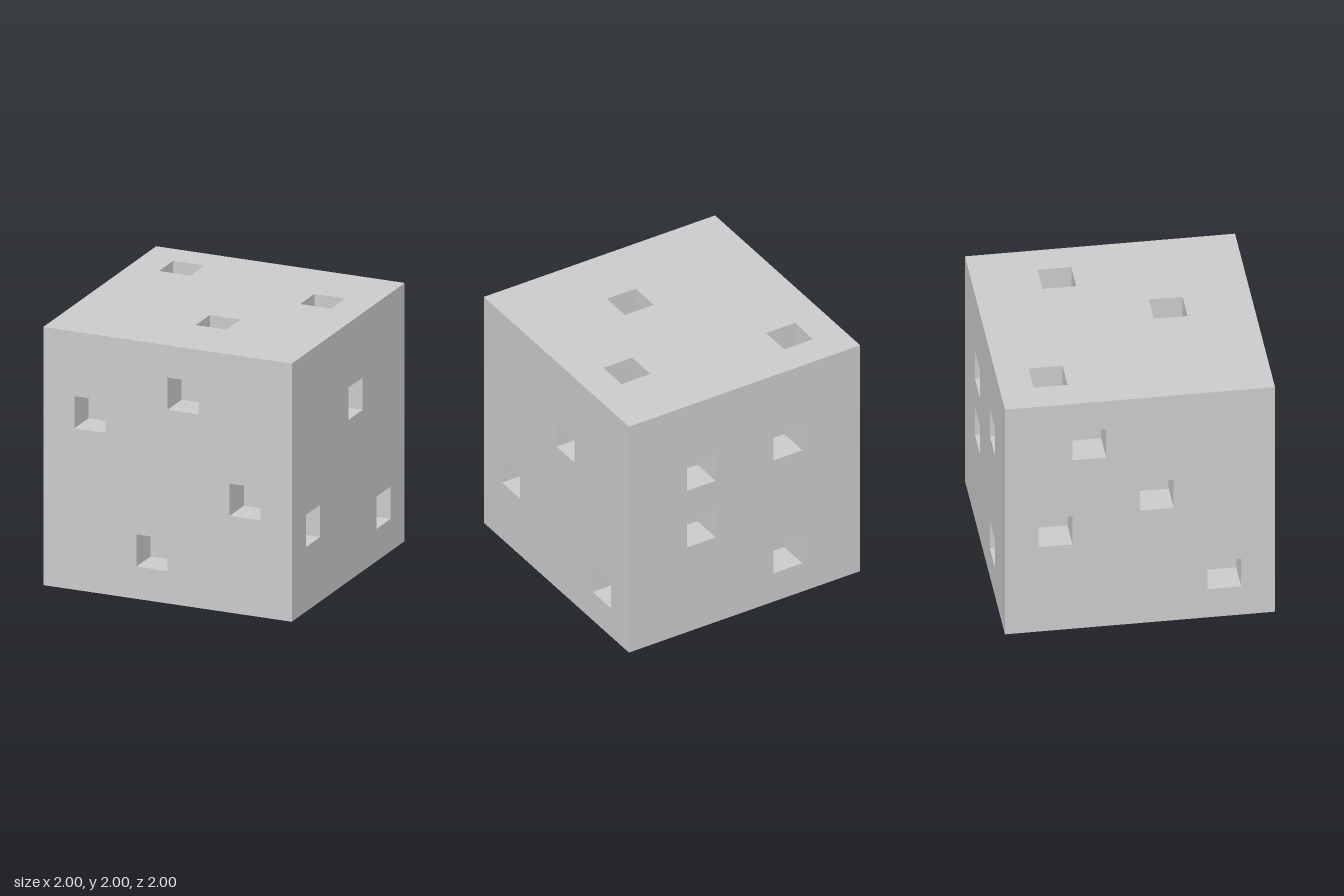
import * as THREE from 'three';
import { mergeGeometries } from 'three/addons/utils/BufferGeometryUtils.js';

const CELL = 0.25; // each face is an 8 x 8 grid; a pocket is one cell wide and one deep

// Each side: rotation from the front, and its pockets as [column, row] from the lower left
const SIDES = [
  { name: 'frontFace', rot: [0, 0], pockets: [[4, 6], [1, 5], [6, 3], [3, 1]] },
  { name: 'rightFace', rot: [0, Math.PI / 2], pockets: [[4, 5], [1, 2], [6, 1]] },
  { name: 'backFace', rot: [0, Math.PI], pockets: [[2, 5], [2, 3], [5, 5], [5, 1]] },
  { name: 'leftFace', rot: [0, -Math.PI / 2], pockets: [[2, 6], [4, 4], [1, 3], [6, 1]] },
  { name: 'topFace', rot: [-Math.PI / 2, 0], pockets: [[1, 6], [6, 5], [4, 2]] },
  { name: 'bottomFace', rot: [Math.PI / 2, 0], pockets: [[6, 2], [3, 3], [3, 5]] },
];

// Square outline from its lower left corner
function square(path, x, y, s) {
  path.moveTo(x, y);
  path.lineTo(x + s, y);
  path.lineTo(x + s, y + s);
  path.lineTo(x, y + s);
  path.closePath();
  return path;
}

// Box turned inside out, without its mouth
function pocketGeometry(x, y) {
  const g = new THREE.BoxGeometry(CELL, CELL, CELL);
  g.setIndex(Array.from(g.index.array).slice(0, 30));
  g.clearGroups();
  g.scale(1, 1, -1);
  g.computeVertexNormals();
  return g.translate(x + CELL / 2, y + CELL / 2, -CELL / 2);
}

// Flat panel with square holes and a pocket behind each
function faceGeometry(pockets) {
  const panel = square(new THREE.Shape(), -1, -1, 2);
  const parts = [];
  for (const [col, row] of pockets) {
    const x = -1 + col * CELL;
    const y = -1 + row * CELL;
    panel.holes.push(square(new THREE.Path(), x, y, CELL));
    parts.push(pocketGeometry(x, y));
  }
  parts.push(new THREE.ShapeGeometry(panel));
  return mergeGeometries(parts).translate(0, 0, 1);
}

export function createModel() {
  const group = new THREE.Group();
  group.name = 'pocketedCube';
  const material = new THREE.MeshStandardMaterial({ color: 0xcccccc, flatShading: true });

  for (const { name, rot, pockets } of SIDES) {
    const face = new THREE.Mesh(faceGeometry(pockets), material);
    face.name = name;
    face.rotation.set(rot[0], rot[1], 0);
    face.position.y = 1;
    group.add(face);
  }
  return group;
}
